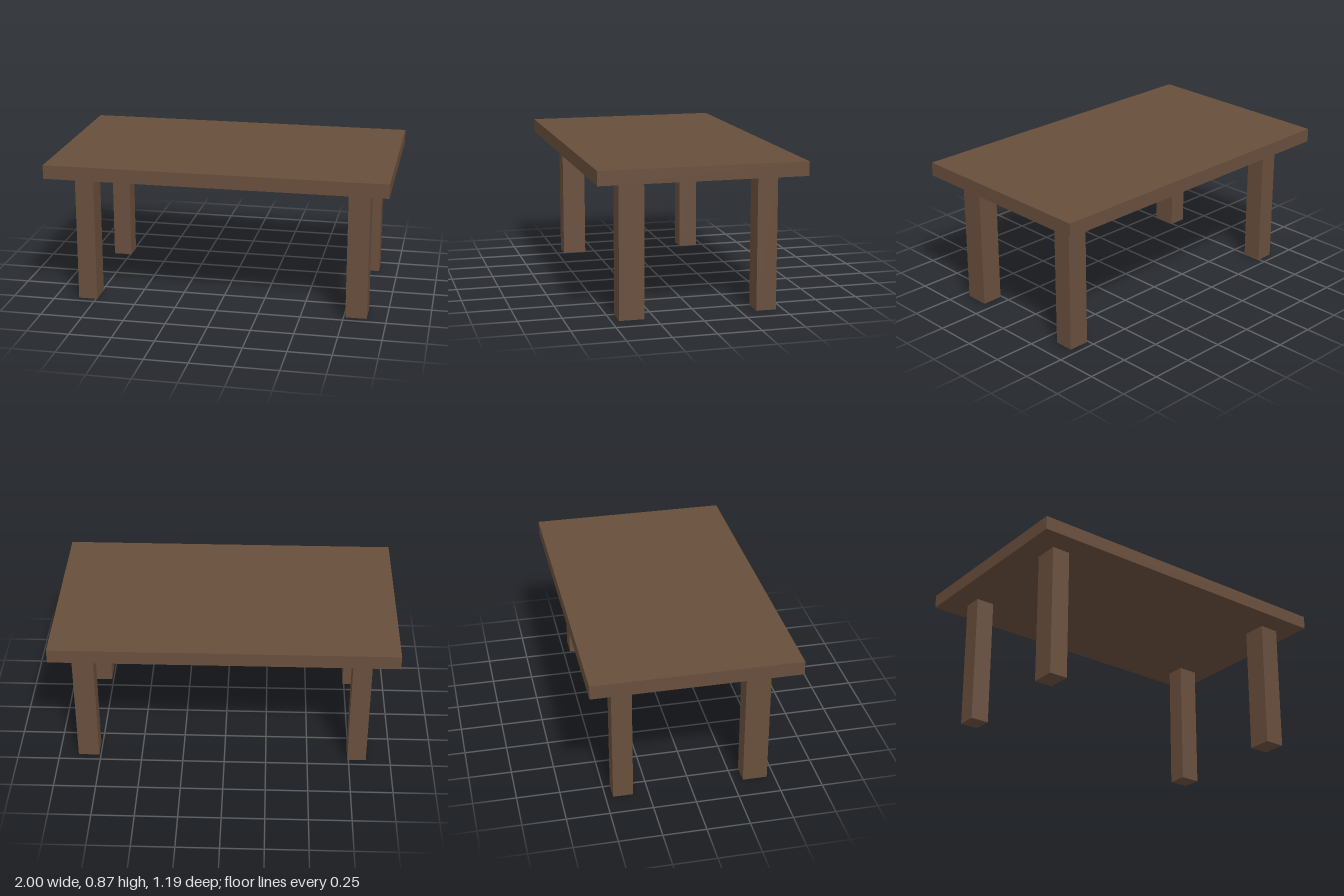
import * as THREE from 'three';

export function createModel() {
  const group = new THREE.Group();
  const wood = new THREE.MeshStandardMaterial({ color: 0x684e3c });
  wood.name = 'brown wood';

  // Box given by its extents along each axis
  const addBox = (name, [x0, x1], [y0, y1], [z0, z1]) => {
    const mesh = new THREE.Mesh(new THREE.BoxGeometry(x1 - x0, y1 - y0, z1 - z0), wood);
    mesh.position.set((x0 + x1) / 2, (y0 + y1) / 2, (z0 + z1) / 2);
    mesh.name = name;
    group.add(mesh);
  };

  // Table top
  addBox('tableTop', [-1, 1], [0.785, 0.867], [-0.597, 0.597]);

  // Four slightly uneven square legs
  const sides = { Left: [0.76, 0.885], Right: [-0.855, -0.743] };
  const ends = { front: [0.312, 0.456], back: [-0.457, -0.34] };
  for (const [end, z] of Object.entries(ends))
    for (const [side, x] of Object.entries(sides))
      addBox(`${end}${side}Leg`, x, [0, 0.785], z);

  return group;
}
